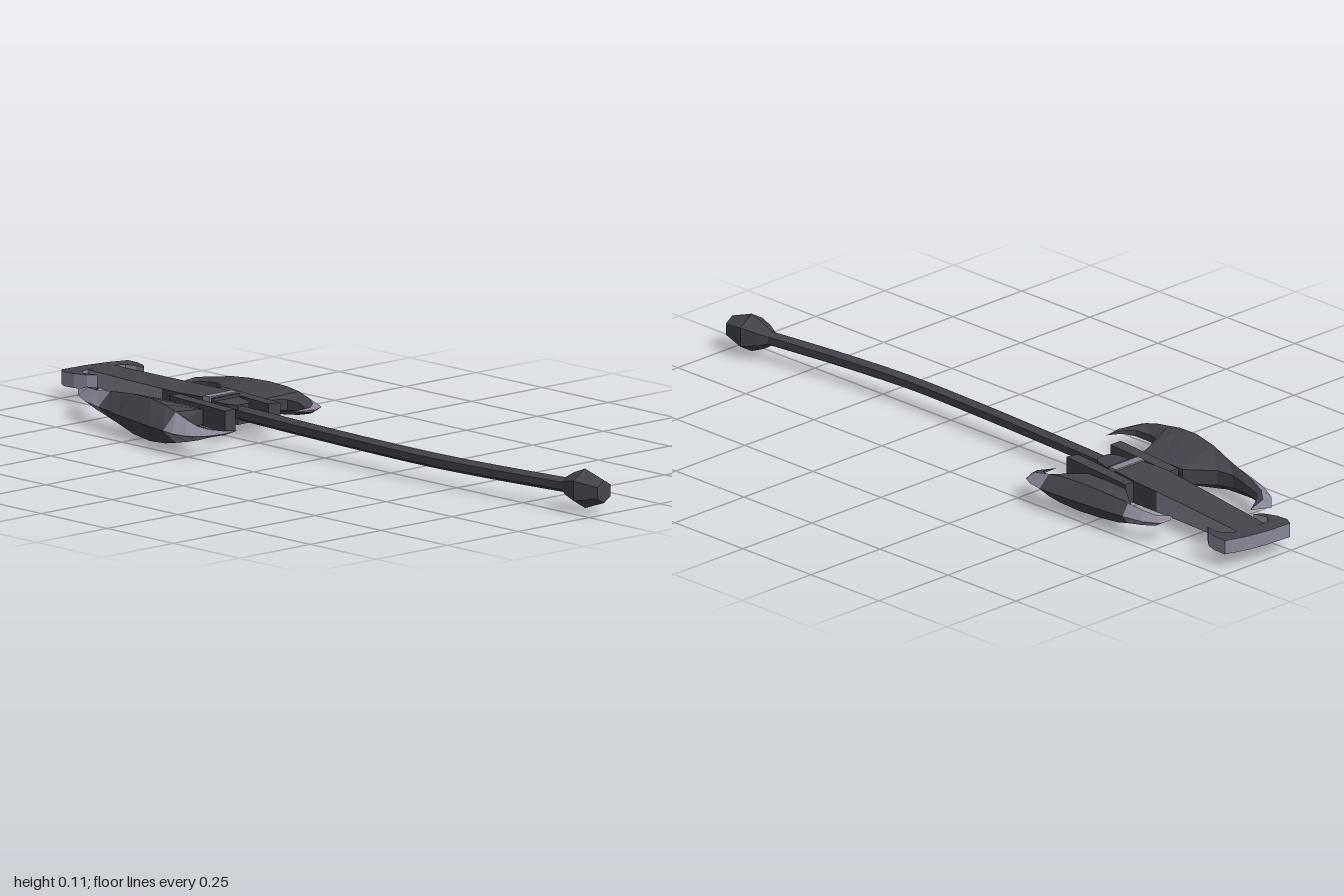
import * as THREE from 'three';

const Y = 0.057; // height of the mid plane
const dark = new THREE.MeshStandardMaterial({ color: 0x45444c });
dark.name = 'dark iron';
const light = new THREE.MeshStandardMaterial({ color: 0x8a8696 });
light.name = 'pale steel';

function add(group, name, geometry, material) {
  const mesh = new THREE.Mesh(geometry, material);
  mesh.name = name;
  group.add(mesh);
  return mesh;
}

function flat(geometry) {
  const g = geometry.index ? geometry.toNonIndexed() : geometry;
  g.computeVertexNormals();
  return g;
}

// Plate with an outline in x, z; half thickness may vary along z
function plate(outline, half) {
  const shape = new THREE.Shape(outline.map(([x, z]) => new THREE.Vector2(x, -z)));
  const g = new THREE.ExtrudeGeometry(shape, { depth: 2, bevelEnabled: false });
  g.translate(0, 0, -1).rotateX(-Math.PI / 2);
  const p = g.attributes.position;
  for (let i = 0; i < p.count; i++) {
    const h = typeof half === 'function' ? half(p.getZ(i)) : half;
    p.setY(i, Y + p.getY(i) * h);
  }
  return flat(g);
}

// Blade lofted from rows: edge x,z, ridge x,z, back x,z, ridge half height, back half height
function blade(rows, flip, isPale) {
  const rings = rows.map(([ex, ez, rx, rz, bx, bz, rh, bh]) => [
    [ex, Y, ez], [rx, Y + rh, rz], [bx, Y + bh, bz], [bx, Y - bh, bz], [rx, Y - rh, rz],
  ]);
  const faces = [[], []];
  for (let i = 0; i < rings.length - 1; i++) {
    for (let k = 0; k < 5; k++) {
      const n = (k + 1) % 5;
      const a = rings[i][k], b = rings[i][n], c = rings[i + 1][k], d = rings[i + 1][n];
      const bevel = k === 0 || k === 4;
      const out = faces[bevel && isPale(i) ? 1 : 0];
      if (flip) out.push(...a, ...b, ...c, ...b, ...d, ...c);
      else out.push(...a, ...c, ...b, ...b, ...c, ...d);
    }
  }
  const g = new THREE.BufferGeometry();
  g.setAttribute('position', new THREE.Float32BufferAttribute(faces.flat(), 3));
  g.addGroup(0, faces[0].length / 3, 0);
  g.addGroup(faces[0].length / 3, faces[1].length / 3, 1);
  g.computeVertexNormals();
  return g;
}

export function createModel() {
  const model = new THREE.Group();
  model.name = 'battleAxe';

  // Curved six-sided handle
  const path = new THREE.CatmullRomCurve3([
    [0.035, -0.42], [0.025, -0.3], [0.008, 0], [0, 0.2], [-0.003, 0.4], [0.012, 0.62], [0.042, 0.88],
  ].map(([x, z]) => new THREE.Vector3(x, Y + 0.003, z)));
  add(model, 'handle', flat(new THREE.TubeGeometry(path, 24, 0.02, 6)), dark);

  // Faceted pommel
  const profile = [[0, 0], [0.018, 0], [0.036, 0.03], [0.052, 0.07], [0.03, 0.135], [0, 0.135]]
    .map(([r, y]) => new THREE.Vector2(r, y));
  const pommelShape = flat(new THREE.LatheGeometry(profile, 6));
  pommelShape.rotateX(Math.PI / 2).rotateY(0.1);
  add(model, 'pommel', pommelShape, dark).position.set(0.041, Y + 0.003, 0.864);

  // Socket and tapering head spine
  add(model, 'socket', plate([[0, -0.43], [0.09, -0.43], [0.07, -0.36], [0.055, -0.345], [0.015, -0.345], [0.003, -0.37]], 0.026), dark);
  const taper = (z) => THREE.MathUtils.mapLinear(z, -0.42, -0.95, 0.034, 0.019);
  add(model, 'spineBase', plate([[0, -0.42], [-0.007, -0.54], [0.004, -0.62], [0.113, -0.62], [0.108, -0.54], [0.093, -0.42]], taper), dark);
  add(model, 'spine', plate([[0.004, -0.62], [0.02, -0.74], [0.05, -0.95], [0.14, -0.95], [0.119, -0.71], [0.113, -0.62]], taper), [dark, light]);
  add(model, 'collar', plate([[-0.005, -0.43], [-0.007, -0.455], [0.097, -0.455], [0.095, -0.43]], 0.037), light);

  // Side plates carrying the blades
  add(model, 'rightPlate', plate([[-0.04, -0.545], [-0.006, -0.545], [-0.029, -0.307], [-0.066, -0.307]], 0.028), dark);
  add(model, 'leftPlate', plate([[0.104, -0.53], [0.137, -0.53], [0.11, -0.286], [0.077, -0.295]], 0.028), dark);

  // Hooked crown at the tip
  add(model, 'crown', plate([
    [0.003, -1], [0.085, -0.996], [0.15, -0.985], [0.207, -0.967], [0.206, -0.93], [0.195, -0.895], [0.172, -0.868],
    [0.177, -0.905], [0.165, -0.932], [0.14, -0.945], [0.056, -0.952], [0.027, -0.948], [0.015, -0.928],
    [0.026, -0.888], [0.005, -0.905], [-0.009, -0.94], [-0.011, -0.975],
  ], 0.019), [dark, light]);

  // Large blade
  add(model, 'rightBlade', blade([
    [-0.019, -0.831, -0.019, -0.831, -0.019, -0.831, 0, 0],
    [-0.071, -0.857, -0.071, -0.825, -0.066, -0.804, 0.012, 0.006],
    [-0.122, -0.804, -0.101, -0.788, -0.093, -0.778, 0.02, 0.01],
    [-0.156, -0.741, -0.124, -0.73, -0.108, -0.73, 0.026, 0.012],
    [-0.183, -0.661, -0.14, -0.661, -0.124, -0.661, 0.036, 0.018],
    [-0.193, -0.619, -0.151, -0.614, -0.114, -0.614, 0.043, 0.02],
    [-0.214, -0.545, -0.172, -0.54, -0.055, -0.545, 0.053, 0.02],
    [-0.235, -0.455, -0.188, -0.46, -0.06, -0.46, 0.057, 0.02],
    [-0.251, -0.386, -0.198, -0.392, -0.064, -0.392, 0.051, 0.02],
    [-0.26, -0.333, -0.204, -0.344, -0.16, -0.349, 0.041, 0.015],
    [-0.268, -0.291, -0.214, -0.291, -0.18, -0.3, 0.029, 0.01],
    [-0.262, -0.249, -0.214, -0.249, -0.177, -0.249, 0.018, 0.008],
    [-0.23, -0.21, -0.193, -0.227, -0.161, -0.222, 0.01, 0.005],
    [-0.17, -0.198, -0.16, -0.205, -0.14, -0.211, 0.005, 0.003],
    [-0.114, -0.206, -0.114, -0.206, -0.114, -0.206, 0, 0],
  ], false, (i) => i < 4 || i > 8), [dark, light]);

  // Small blade
  add(model, 'leftBlade', blade([
    [0.151, -0.72, 0.151, -0.72, 0.151, -0.72, 0, 0],
    [0.177, -0.735, 0.18, -0.717, 0.183, -0.704, 0.01, 0.005],
    [0.209, -0.735, 0.204, -0.709, 0.198, -0.688, 0.015, 0.008],
    [0.235, -0.693, 0.214, -0.672, 0.204, -0.661, 0.021, 0.01],
    [0.246, -0.63, 0.22, -0.624, 0.204, -0.624, 0.028, 0.014],
    [0.251, -0.593, 0.225, -0.593, 0.188, -0.598, 0.033, 0.015],
    [0.257, -0.529, 0.228, -0.529, 0.135, -0.529, 0.038, 0.016],
    [0.262, -0.455, 0.23, -0.455, 0.13, -0.455, 0.04, 0.016],
    [0.265, -0.386, 0.23, -0.386, 0.13, -0.386, 0.037, 0.016],
    [0.265, -0.344, 0.23, -0.344, 0.193, -0.349, 0.031, 0.014],
    [0.257, -0.302, 0.225, -0.302, 0.198, -0.307, 0.021, 0.01],
    [0.241, -0.27, 0.214, -0.275, 0.188, -0.28, 0.012, 0.006],
    [0.204, -0.254, 0.193, -0.262, 0.177, -0.27, 0.007, 0.004],
    [0.135, -0.275, 0.135, -0.275, 0.135, -0.275, 0, 0],
  ], true, (i) => i < 4 || i > 8), [dark, light]);

  return model;
}
